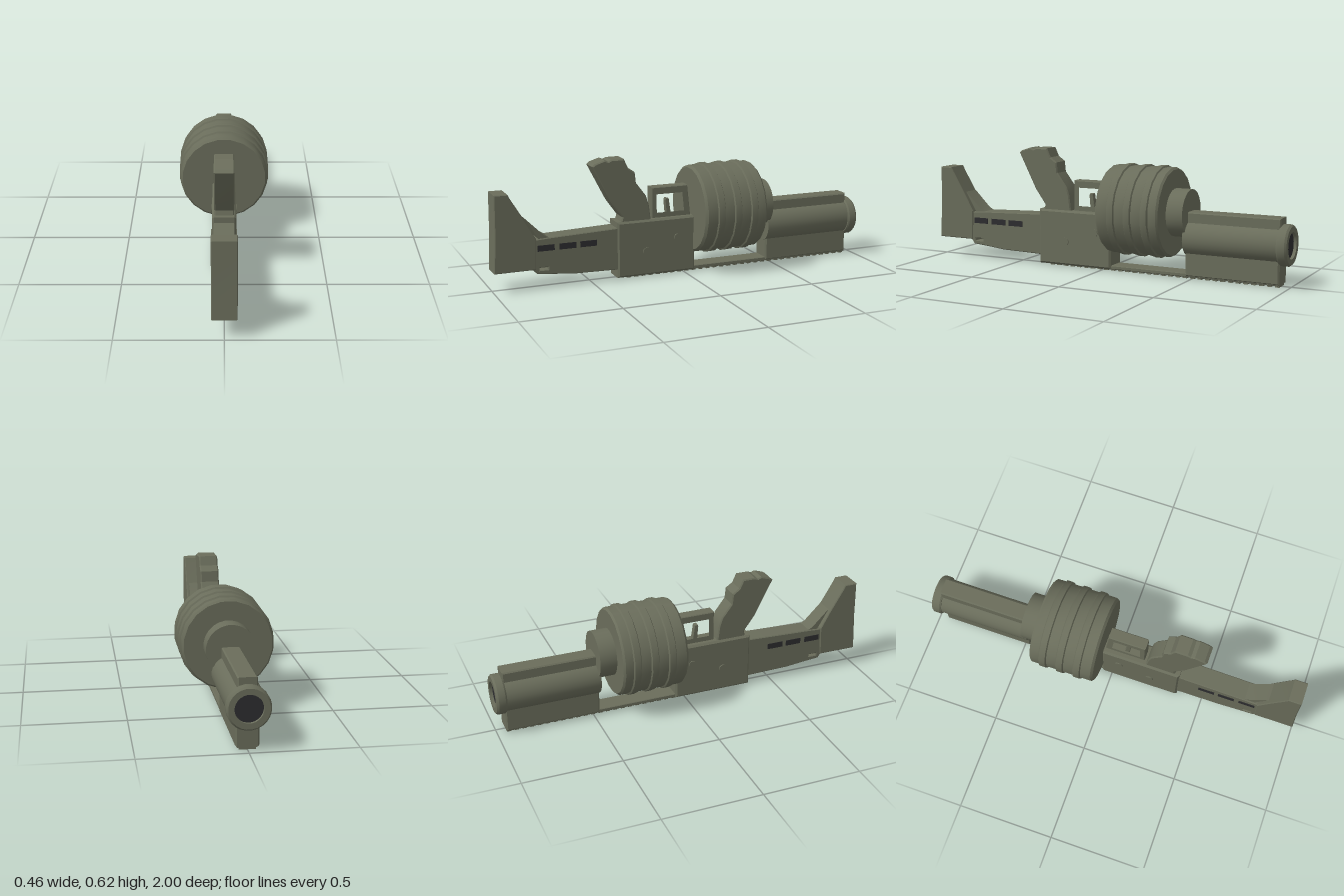
import * as THREE from 'three';
import { toCreasedNormals } from 'three/addons/utils/BufferGeometryUtils.js';

export function createModel() {
  const model = new THREE.Group();
  const olive = new THREE.MeshStandardMaterial({ color: 0x6a6d5b });
  olive.name = 'olive';
  const dark = new THREE.MeshStandardMaterial({ color: 0x2d2d2f });
  dark.name = 'dark grey';

  const add = (name, geo, mat = olive) => {
    const mesh = new THREE.Mesh(geo, mat);
    mesh.name = name;
    model.add(mesh);
    return mesh;
  };

  // Side profile given as [z, y] points, extruded across x
  const vec = ([z, y]) => new THREE.Vector2(-z, y);
  const slab = (name, pts, half, bevel = 0.006, hole = null) => {
    const shape = new THREE.Shape(pts.map(vec));
    if (hole) shape.holes.push(new THREE.Path(hole.map(vec)));
    const depth = 2 * (half - bevel);
    const geo = new THREE.ExtrudeGeometry(shape, {
      depth, bevelEnabled: bevel > 0, bevelSize: bevel, bevelThickness: bevel,
      bevelOffset: -bevel, bevelSegments: 1,
    });
    geo.translate(0, 0, -depth / 2).rotateY(Math.PI / 2);
    return add(name, toCreasedNormals(geo, 0.35));
  };
  const rect = (z0, z1, y0, y1) => [[z0, y0], [z1, y0], [z1, y1], [z0, y1]];

  // Turned part along z, profile as [radius, distance towards the muzzle]
  const turned = (name, pts, y, sides) => {
    const geo = new THREE.LatheGeometry(pts.map(p => new THREE.Vector2(...p)), sides, Math.PI / sides);
    geo.rotateX(-Math.PI / 2).translate(0, y, 0);
    return add(name, toCreasedNormals(geo, 0.5));
  };

  // Shoulder stock
  slab('stockButt', [[0.998, 0.1], [0.989, 0.3], [0.987, 0.488], [0.92, 0.488], [0.908, 0.465],
    [0.835, 0.345], [0.785, 0.255], [0.79, 0.1]], 0.059, 0.004);
  slab('stockArm', [[0.8, 0.1], [0.782, 0.075], [0.7, 0.068], [0.596, 0.057], [0.36, 0.052],
    [0.36, 0.268], [0.714, 0.255], [0.8, 0.25]], 0.052, 0.004, rect(0.725, 0.77, 0.094, 0.106));
  slab('stockStrut', [[0.833, 0.357], [0.742, 0.268], [0.71, 0.25], [0.77, 0.25]], 0.045, 0);

  // Dark slots along both sides of the stock
  for (const z of [0.735, 0.624, 0.517]) {
    for (const side of [-1, 1]) {
      add('stockSlot', new THREE.BoxGeometry(0.006, 0.03, 0.086), dark)
        .position.set(side * 0.0515, 0.205, z);
    }
  }

  // Receiver with pins
  slab('receiver', rect(0.366, -0.055, 0.008, 0.297), 0.06, 0.01);
  for (const [z, y] of [[0.04, 0.19], [0.21, 0.133]]) {
    const pin = new THREE.CylinderGeometry(0.021, 0.021, 0.13, 16).rotateZ(Math.PI / 2);
    add('receiverPin', pin).position.set(0, y, z);
  }

  // Grip, trigger guard and trigger
  slab('grip', [[0.345, 0.28], [0.335, 0.32], [0.393, 0.4], [0.49, 0.588], [0.475, 0.6], [0.425, 0.616],
    [0.405, 0.608], [0.388, 0.616], [0.323, 0.616], [0.302, 0.57], [0.266, 0.545], [0.26, 0.49],
    [0.207, 0.42], [0.192, 0.375], [0.18, 0.28]], 0.049, 0.006);
  slab('triggerGuard', [[0.17, 0.28], [0.17, 0.455], [-0.026, 0.455], [-0.045, 0.28]], 0.03, 0.004,
    [[0.147, 0.318], [0.147, 0.422], [-0.002, 0.422], [-0.012, 0.318]]);
  slab('trigger', [[0.09, 0.38], [0.086, 0.39], [0.07, 0.388], [0.056, 0.29], [0.082, 0.29]], 0.014, 0.002);

  // Drum with three raised bands
  const drum = [[0, 0.048], [0.215, 0.048], [0.226, 0.06]];
  for (const d of [0.113, 0.205, 0.297]) {
    drum.push([0.226, d], [0.234, d + 0.005], [0.234, d + 0.037], [0.226, d + 0.042]);
  }
  drum.push([0.226, 0.38], [0.217, 0.39], [0, 0.39]);
  turned('drum', drum, 0.322, 20);
  turned('drumCollar', [[0, 0.38], [0.121, 0.38], [0.121, 0.477], [0, 0.477]], 0.323, 24);

  // Barrel with muzzle ring, bore, top rib and lower block
  turned('barrel', [[0, 0.465], [0.092, 0.465], [0.092, 0.955], [0, 0.955]], 0.203, 24);
  turned('muzzleRing', [[0.09, 0.948], [0.097, 0.948], [0.102, 0.956], [0.102, 0.99], [0.094, 1],
    [0.066, 1], [0.066, 0.97]], 0.203, 24);
  add('bore', new THREE.CircleGeometry(0.067, 24).rotateY(Math.PI), dark).position.set(0, 0.203, -0.985);
  slab('topRib', rect(-0.47, -0.955, 0.24, 0.335), 0.045, 0.006);
  slab('lowerBlock', rect(-0.468, -0.955, 0.012, 0.16), 0.055, 0.008);

  // Accessory rail under the receiver and barrel
  slab('railStrip', rect(0.31, -0.95, 0.009, 0.028), 0.05, 0.003);
  for (let i = 0; i < 32; i++) {
    add('railTooth', new THREE.BoxGeometry(0.076, 0.014, 0.022)).position.set(0, 0.007, 0.3 - i * 0.04);
  }
  return model;
}
